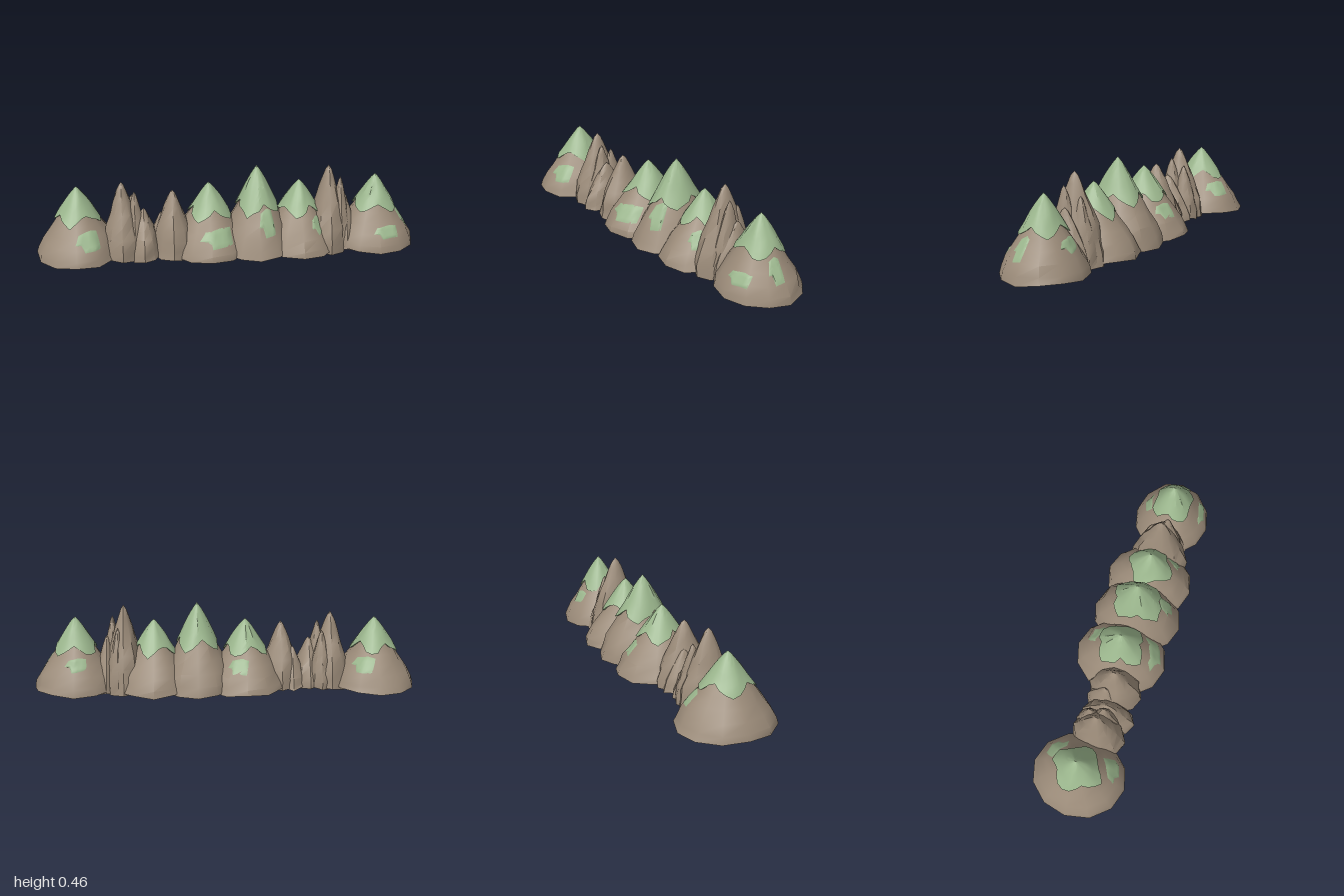
import * as THREE from 'three';
import { toCreasedNormals } from 'three/addons/utils/BufferGeometryUtils.js';

const rock = new THREE.MeshStandardMaterial({ color: 0x9b8b79, side: THREE.DoubleSide });
const moss = new THREE.MeshStandardMaterial({ color: 0x9ab58c, side: THREE.DoubleSide });
const TAU = Math.PI * 2;

// Repeatable noise in -1..1
const noise = (a, b, c) => {
  const s = Math.sin(a * 127.1 + b * 311.7 + c * 74.7) * 43758.5453;
  return (s - Math.floor(s)) * 2 - 1;
};

// Kinds of slope: rim height and jaggedness, roughness, and
// levels as height (share of the peak) and radius (share of the base)
const SLOPES = {
  hill: {
    rim: 0.019, jag: 0.008, rough: 0.04,
    levels: [[0.05, 1], [0.14, 0.95], [0.27, 0.83], [0.4, 0.68], [0.53, 0.53], [0.67, 0.37],
      [0.8, 0.23], [0.91, 0.11], [0.97, 0.045], [1, 0.004]],
  },
  spire: {
    rim: 0.01, jag: 0.01, rough: 0.065,
    levels: [[0.03, 1], [0.15, 0.97], [0.3, 0.88], [0.45, 0.74], [0.6, 0.56], [0.75, 0.39],
      [0.87, 0.24], [0.95, 0.13], [1, 0.005]],
  },
};

// Surface from a rule over a grid: u runs around to the right, v runs upward
function sheet(nu, nv, rule) {
  const pos = [], idx = [];
  for (let j = 0; j <= nv; j++)
    for (let i = 0; i <= nu; i++) pos.push(...rule(i, j));
  for (let j = 0; j < nv; j++)
    for (let i = 0; i < nu; i++) {
      const a = j * (nu + 1) + i, b = a + nu + 1;
      idx.push(a, a + 1, b + 1, a, b + 1, b);
    }
  const g = new THREE.BufferGeometry();
  g.setAttribute('position', new THREE.Float32BufferAttribute(pos, 3));
  g.setIndex(idx);
  return toCreasedNormals(g, 0.7);
}

function add(group, name, geometry, material) {
  const m = new THREE.Mesh(geometry, material);
  m.name = name;
  group.add(m);
}

// A faceted slope: returns its rings and a lookup of points on its surface
function makeSlope({ kind, x, z, h, rx, rz, seed, n }) {
  const { rim, jag, rough, levels } = SLOPES[kind];
  const rings = levels.map(([t, r], j) => {
    const ring = [];
    for (let i = 0; i < n; i++) {
      const a = (i / n) * TAU;
      const k = r * (1 + (j ? rough * noise(i, j * 0.13 + 1, seed) : 0));
      const y = j ? t * h : rim + jag * noise(i, 5, seed);
      ring.push([x + rx * k * Math.sin(a), y, z + rz * k * Math.cos(a)]);
    }
    return ring;
  });
  const at = (a, y, off = 0) => {
    const f = (((a / TAU) % 1) + 1) % 1 * n, i = Math.floor(f) % n, u = f - Math.floor(f);
    let j = 0;
    while (j < levels.length - 2 && y > levels[j + 1][0] * h) j++;
    const v = (y / h - levels[j][0]) / (levels[j + 1][0] - levels[j][0]);
    const mix = (c) => THREE.MathUtils.lerp(
      THREE.MathUtils.lerp(rings[j][i][c], rings[j][(i + 1) % n][c], u),
      THREE.MathUtils.lerp(rings[j + 1][i][c], rings[j + 1][(i + 1) % n][c], u), v);
    return [mix(0) + off * Math.sin(a), y, mix(2) + off * Math.cos(a)];
  };
  return { rings, at };
}

// Rock body: a shell open underneath
function addBody(group, p, { rings }) {
  add(group, 'rockBody', sheet(p.n, rings.length - 1, (i, j) => rings[j][i % p.n]), rock);
}

// Moss cap: a thick shell with a pointed zigzag lower edge and a lip below it
function addCap(group, p, slope) {
  const nu = p.n * 2, nv = 9, tooth = 6;
  const edge = (i) => {
    const wave = Math.abs((((i - p.turn) % tooth) + tooth) % tooth - tooth / 2) / (tooth / 2);
    return p.cap + 0.055 * (wave - 0.5) + 0.008 * noise(i % nu, 3, p.seed);
  };
  add(group, 'mossCap', sheet(nu, nv, (i, j) => {
    const a = (i / nu) * TAU, y0 = edge(i);
    if (j === 0) return slope.at(a, y0 + 0.004, -0.003);
    const t = (j - 1) / (nv - 1);
    const gully = 0.004 * noise(i % nu, 7, p.seed) * Math.sin(Math.PI * t);
    const q = slope.at(a, y0 + (p.h - y0) * t, (0.011 + gully) * (1 - t ** 4));
    q[1] += 0.003 * t;
    return q;
  }), moss);
}

// Moss patch on the slope: centre angle, angular width, lower and upper height;
// a step in the lower edge makes it L-shaped
function addPatch(group, p, slope, [deg, width, low, high]) {
  const n = 8;
  add(group, 'mossPatch', sheet(n, n, (i, j) => {
    const u = i / n, v = j / n;
    const a = THREE.MathUtils.degToRad(deg + width * (u - 0.5 + 0.15 * (v - 0.5)));
    const bottom = low + (high - low) * (u < 0.3 ? 0.4 : 0.1 * u);
    const top = high - (high - low) * 0.25 * Math.abs(u - 0.6);
    const border = i === 0 || j === 0 || i === n || j === n;
    return slope.at(a, bottom + (top - bottom) * v, border ? 0.001 : 0.004);
  }), moss);
}

// Green hills, each with its cap height, zigzag turn and patches
const hills = [
  { x: -0.78, z: 0, h: 0.372, rx: 0.22, rz: 0.248, cap: 0.222, turn: 2, patches: [[22, 42, 0.085, 0.18], [148, 44, 0.11, 0.19]] },
  { x: -0.1, z: -0.003, h: 0.372, rx: 0.215, rz: 0.247, cap: 0.222, turn: 1, patches: [[14, 60, 0.08, 0.17], [162, 40, 0.11, 0.19]] },
  { x: 0.15, z: 0.003, h: 0.457, rx: 0.2, rz: 0.243, cap: 0.25, turn: 1, patches: [[18, 34, 0.12, 0.26]] },
  { x: 0.375, z: 0, h: 0.372, rx: 0.21, rz: 0.237, cap: 0.222, turn: 2, patches: [[40, 30, 0.11, 0.2]] },
  { x: 0.78, z: 0, h: 0.39, rx: 0.22, rz: 0.208, cap: 0.23, turn: 0, patches: [[13, 40, 0.085, 0.15], [78, 26, 0.1, 0.215], [184, 42, 0.13, 0.2]] },
];

// Bare spires: x, z, height, radius along x, radius along z
const spires = [
  [-0.55, 0.025, 0.4, 0.115, 0.145], [-0.485, 0.04, 0.35, 0.075, 0.09], [-0.44, 0.04, 0.26, 0.09, 0.145],
  [-0.5, -0.03, 0.31, 0.07, 0.085], [-0.29, 0.03, 0.35, 0.115, 0.145], [-0.35, 0, 0.22, 0.08, 0.11],
  [0.53, 0.005, 0.45, 0.115, 0.16], [0.59, 0.025, 0.39, 0.07, 0.1], [0.62, 0, 0.29, 0.075, 0.135],
  [0.56, -0.05, 0.34, 0.07, 0.09],
];

export function createModel() {
  const model = new THREE.Group();
  model.name = 'mountainRidge';

  hills.forEach((h, k) => {
    const p = { ...h, kind: 'hill', seed: k + 1, n: 12 };
    const hill = new THREE.Group();
    hill.name = 'greenHill';
    const slope = makeSlope(p);
    addBody(hill, p, slope);
    addCap(hill, p, slope);
    p.patches.forEach((patch) => addPatch(hill, p, slope, patch));
    model.add(hill);
  });

  spires.forEach(([x, z, h, rx, rz], k) => {
    const p = { kind: 'spire', x, z, h, rx, rz, seed: k + 20, n: 10 };
    const spire = new THREE.Group();
    spire.name = 'rockSpire';
    addBody(spire, p, makeSlope(p));
    model.add(spire);
  });
  return model;
}
